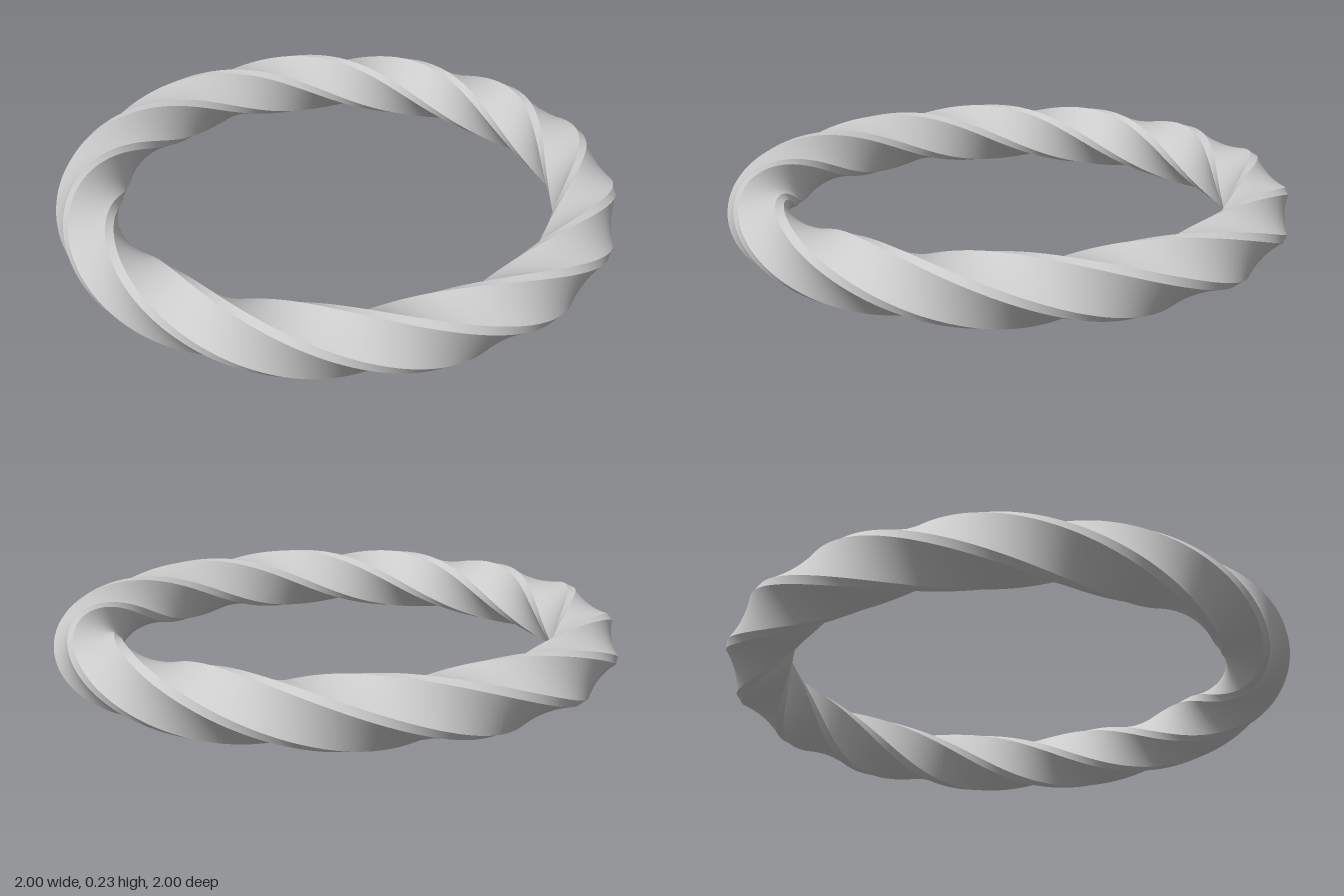
import * as THREE from 'three';

const RING_RADIUS = 0.895;  // centre line of the band
const CORNER = 0.117;       // centre of the section to its corners
const CHAMFER = THREE.MathUtils.degToRad(7.4); // half angle of each cut corner
const TURNS = 3;            // full twists around the ring
const SEGMENTS = 240;

// Point on the twisted band: phi runs round the ring, psi round the section
function bandPoint(phi, psi) {
  const a = psi - TURNS * phi;
  const r = RING_RADIUS + CORNER * Math.cos(a);
  return [r * Math.sin(phi), CORNER + CORNER * Math.sin(a), r * Math.cos(phi)];
}

// One closed ribbon between two section corners, smooth along its length
function ribbon(psi0, psi1) {
  const positions = [];
  const index = [];
  for (let i = 0; i < SEGMENTS; i++) {
    const phi = (i / SEGMENTS) * Math.PI * 2;
    positions.push(...bandPoint(phi, psi0), ...bandPoint(phi, psi1));
    const a = i * 2;
    const b = ((i + 1) % SEGMENTS) * 2;
    index.push(a, b, a + 1, b, b + 1, a + 1);
  }
  const geometry = new THREE.BufferGeometry();
  geometry.setAttribute('position', new THREE.Float32BufferAttribute(positions, 3));
  geometry.setIndex(index);
  geometry.computeVertexNormals();
  return geometry;
}

export function createModel() {
  const model = new THREE.Group();
  model.name = 'twistedRing';
  const material = new THREE.MeshStandardMaterial({ color: 0xcccccc });

  const add = (name, psi0, psi1) => {
    const mesh = new THREE.Mesh(ribbon(psi0, psi1), material);
    mesh.name = name;
    model.add(mesh);
  };

  // Four broad faces and four narrow chamfers of the square section
  for (let k = 0; k < 4; k++) {
    const corner = Math.PI / 4 + (k * Math.PI) / 2;
    add(`chamfer${k + 1}`, corner - CHAMFER, corner + CHAMFER);
    add(`face${k + 1}`, corner + CHAMFER, corner + Math.PI / 2 - CHAMFER);
  }
  return model;
}
